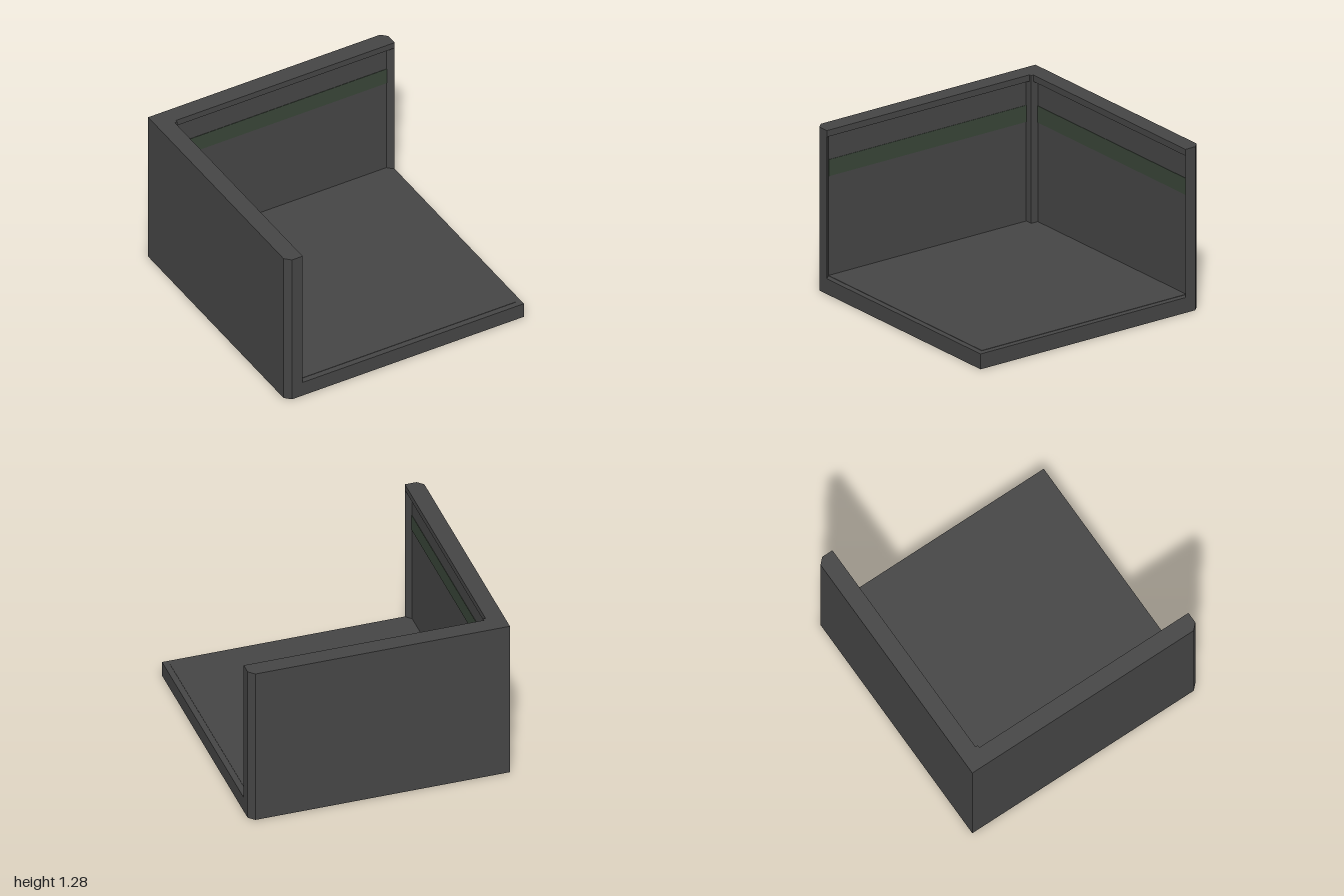
import * as THREE from 'three';

const charcoal = new THREE.MeshStandardMaterial({ color: 0x454545 });
charcoal.name = 'charcoal';
const darkGreen = new THREE.MeshStandardMaterial({ color: 0x394538 });
darkGreen.name = 'dark green';

const FLOOR = 0.12, BEAM = 1.23, TOP = 1.28;
const CUT = 0.955;     // where the end bevels start
const PANEL = -0.905;  // recessed wall surface
const RIM = -0.865;    // raised rim surface
const POST = -0.845;   // corner post surface

// Vertical slab from a plan outline of [x, z] points
function slab(name, plan, y0, y1, material = charcoal) {
  const shape = new THREE.Shape(plan.map(([x, z]) => new THREE.Vector2(x, -z)));
  const geometry = new THREE.ExtrudeGeometry(shape, { depth: y1 - y0, bevelEnabled: false });
  geometry.rotateX(-Math.PI / 2).translate(0, y0, 0);
  const mesh = new THREE.Mesh(geometry, material);
  mesh.name = name;
  return mesh;
}

function rect(x0, z0, x1, z1) {
  return [[x0, z0], [x1, z0], [x1, z1], [x0, z1]];
}

// L-shaped plan: one arm along the back, mirrored across the corner diagonal
function corner(arm, inner) {
  const mirrored = arm.map(([x, z]) => [z, x]).reverse();
  return [[-1, -1], ...arm, [inner, inner], ...mirrored];
}

export function createModel() {
  const model = new THREE.Group();
  model.name = 'cornerRoom';

  // Floor with two clipped corners and a thin inner surface
  model.add(slab('floor',
    [[-1, -1], [CUT, -1], [1, -CUT], [1, 1], [-CUT, 1], [-1, CUT]], 0, FLOOR));
  model.add(slab('floorSurface', rect(PANEL, PANEL, CUT, CUT), FLOOR, FLOOR + 0.003));

  // Recessed walls whose free ends slope out to the rim
  model.add(slab('walls',
    corner([[CUT, -1], [1, -CUT], [1, RIM], [CUT, PANEL]], PANEL), FLOOR, BEAM));

  // Raised rim along the top of both walls
  model.add(slab('topRim',
    corner([[CUT, -1], [1, -CUT], [1, RIM]], RIM), BEAM, TOP));

  // Post in the inner corner
  model.add(slab('cornerPost', rect(PANEL, PANEL, POST, POST), FLOOR, TOP));

  // Painted stripe on each wall
  const t = 0.003;
  model.add(slab('backStripe', rect(POST, PANEL, CUT, PANEL + t), 0.9, 1.03, darkGreen));
  model.add(slab('sideStripe', rect(PANEL, POST, PANEL + t, CUT), 0.9, 1.03, darkGreen));

  return model;
}
